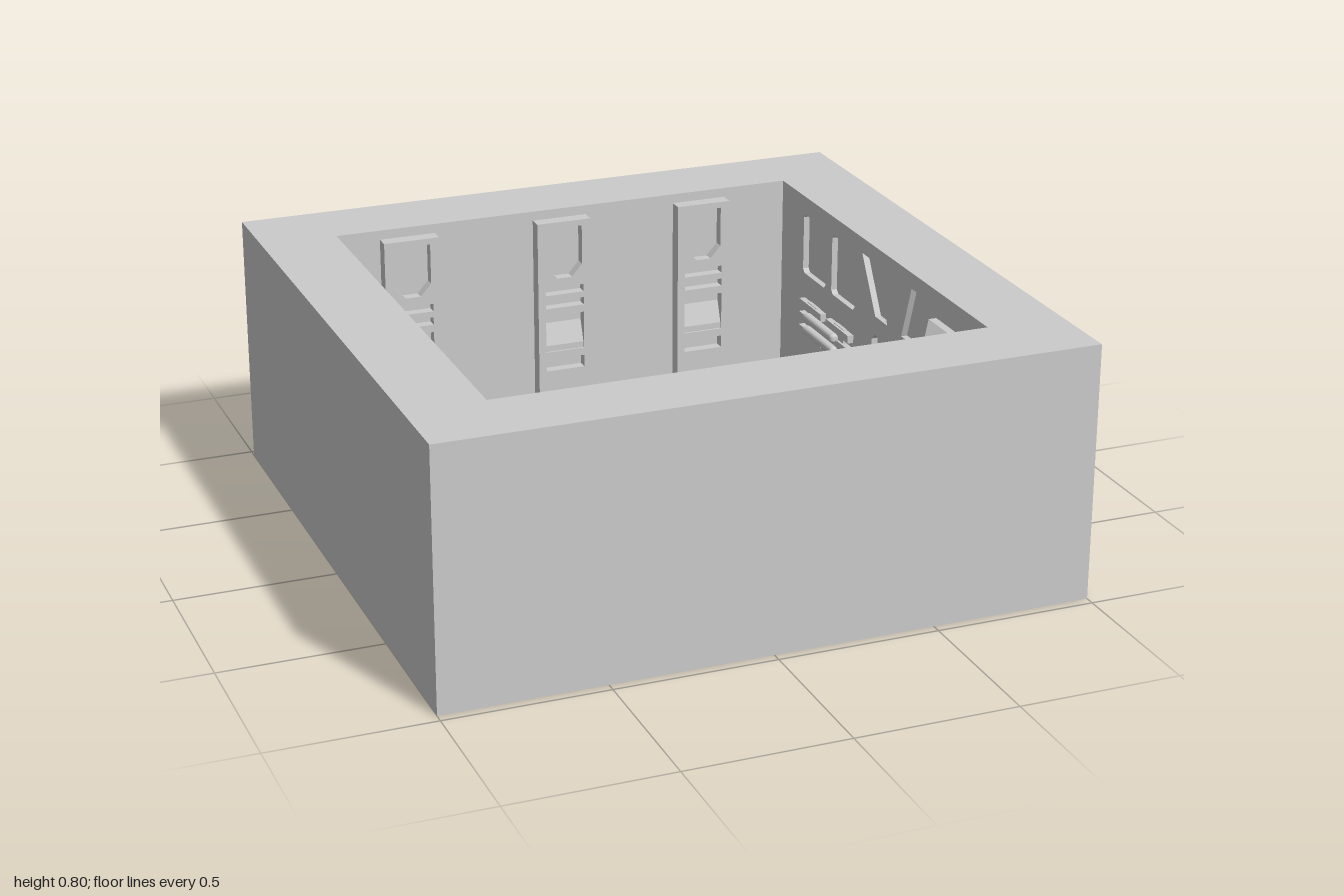
import * as THREE from 'three';
import { RoundedBoxGeometry } from 'three/addons/geometries/RoundedBoxGeometry.js';

const material = new THREE.MeshStandardMaterial({ color: 0xcccccc, flatShading: true });
const HEIGHT = 0.8, INNER_X = 0.76, INNER_Z = 0.73, RECESS = 0.02;

function add(parent, name, geometry) {
  const mesh = new THREE.Mesh(geometry, material);
  mesh.name = name;
  parent.add(mesh);
  return mesh;
}

const poly = (points, Type = THREE.Path) => new Type(points.map(([x, y]) => new THREE.Vector2(x, y)));

function rect(x0, y0, x1, y1, Type = THREE.Path) {
  return poly([[x0, y0], [x1, y0], [x1, y1], [x0, y1]], Type);
}

// rectangle with cut corners, c is the cut size
function chamfered(cx, cy, hw, hh, c) {
  return poly([[cx - hw + c, cy - hh], [cx + hw - c, cy - hh], [cx + hw, cy - hh + c], [cx + hw, cy + hh - c],
    [cx + hw - c, cy + hh], [cx - hw + c, cy + hh], [cx - hw, cy + hh - c], [cx - hw, cy - hh + c]]);
}

function extrude(shape, holes, depth) {
  shape.holes.push(...holes);
  return new THREE.ExtrudeGeometry(shape, { depth, bevelEnabled: false, curveSegments: 10 });
}

// upright strip with windows and slots, its back on z = 0, facing +z
function pilaster() {
  const group = new THREE.Group();
  group.name = 'pilaster';
  const w = 0.09, top = 0.77, bottom = 0.03;

  const back = new THREE.BoxGeometry(2 * w, top - bottom, 0.012);
  add(group, 'pilasterBack', back.translate(0, (top + bottom) / 2, 0.006));

  const arch = new THREE.Path();
  arch.moveTo(-0.06, 0.055);
  arch.lineTo(0.06, 0.055);
  arch.lineTo(0.06, 0.15);
  arch.absarc(0, 0.15, 0.06, 0, Math.PI, false);
  arch.closePath();
  const holes = [
    poly([[-0.06, 0.75], [-0.06, 0.62], [-0.025, 0.58], [0.025, 0.58], [0.06, 0.62], [0.06, 0.75]]),
    rect(-0.065, 0.525, 0.065, 0.55),
    rect(-0.065, 0.48, 0.065, 0.505),
    rect(-0.065, 0.33, 0.065, 0.455),
    rect(-0.065, 0.265, 0.065, 0.305),
    arch,
  ];
  const face = extrude(rect(-w, bottom, w, top, THREE.Shape), holes, 0.033);
  add(group, 'pilasterFace', face.translate(0, 0, 0.012));

  // sloping block inside the middle opening
  const wedge = extrude(poly([[0, 0.33], [0.026, 0.33], [0.026, 0.35], [0, 0.42]], THREE.Shape), [], 0.13);
  add(group, 'pilasterWedge', wedge.rotateY(-Math.PI / 2).translate(0.065, 0, 0.012));
  return group;
}

// solid shelf with angled ends, back on z = 0, front on z = 0.062
function shelf() {
  const g = new THREE.BoxGeometry(0.29, 0.1, 0.062, 1, 1, 2);
  const p = g.attributes.position;
  for (let i = 0; i < p.count; i++) {
    const z = p.getZ(i);
    if (z > 0.02) {
      p.setX(i, Math.sign(p.getX(i)) * 0.095);
      if (p.getY(i) > 0) p.setY(i, 0.015);
    } else if (z > -0.01) p.setZ(i, -0.006);
  }
  return g.translate(0, 0, 0.031);
}

// inner face of a side wall; side is +1 for left (+x), -1 for right (-x)
function sideWall(side) {
  const group = new THREE.Group();
  group.name = side > 0 ? 'leftInnerWall' : 'rightInnerWall';
  const u = (z) => side * z; // drawing axis for a given z
  const mid = HEIGHT / 2, cz = 0.125;

  // recessed slanted and upright panels, repeated above and below the middle
  const holes = [chamfered(u(cz), mid, 0.155, 0.115, 0.02)];
  for (const v of [1, -1]) {
    for (const k of [1, -1]) {
      holes.push(poly([[0.05, 0.175], [0.135, 0.175], [0.24, 0.35], [0.11, 0.35]]
        .map(([a, b]) => [u(cz + k * a), mid + v * b])));
    }
    for (const z of [-0.25, -0.47]) {
      holes.push(chamfered(u(z), mid + v * 0.24, 0.088, 0.1, 0.012));
    }
  }
  const lining = extrude(rect(-INNER_Z, 0, INNER_Z, HEIGHT, THREE.Shape), holes, RECESS);
  add(group, 'wallPanel', lining.translate(0, 0, -RECESS));

  // raised square ring in the middle recess
  const ring = extrude(rect(u(cz) - 0.085, mid - 0.065, u(cz) + 0.085, mid + 0.065, THREE.Shape),
    [rect(u(cz) - 0.045, mid - 0.035, u(cz) + 0.045, mid + 0.035)], RECESS - 0.004);
  add(group, 'squareRing', ring.translate(0, 0, -RECESS));

  // stacked shelves by the front corner
  for (let i = 0; i < 4; i++) {
    add(group, 'shelf', shelf()).position.set(u(0.55), 0.14 + i * 0.175, 0);
  }

  // pair of barred plates joined by rounded handles
  for (const z of [-0.455, -0.248]) {
    for (const dy of [-0.045, 0, 0.045]) {
      const bar = new THREE.BoxGeometry(0.168, 0.026, 0.02);
      add(group, 'latchBar', bar.translate(u(z), mid + dy, 0.01));
    }
    add(group, 'latchPlate', new THREE.BoxGeometry(0.07, 0.12, 0.012).translate(u(z), mid, 0.006));
  }
  for (const dy of [-0.022, 0.022]) {
    const handle = new RoundedBoxGeometry(0.225, 0.03, 0.03, 3, 0.012);
    add(group, 'latchHandle', handle.translate(u(-0.35), mid + dy, 0.03));
  }

  group.rotation.y = -side * Math.PI / 2;
  group.position.x = side * INNER_X;
  return group;
}

export function createModel() {
  const model = new THREE.Group();
  model.name = 'squareWallRing';

  // thick outer walls, open through the middle
  const hx = INNER_X + RECESS;
  const walls = extrude(rect(-1, -0.97, 1, 0.97, THREE.Shape),
    [rect(-hx, -INNER_Z, hx, INNER_Z)], HEIGHT);
  add(model, 'outerWalls', walls.rotateX(-Math.PI / 2));

  for (const side of [1, -1]) model.add(sideWall(side));

  // three pilasters on the back wall and three facing them
  for (const x of [-0.53, -0.022, 0.46]) {
    for (const dir of [1, -1]) {
      const p = pilaster();
      p.position.set(x, 0, -dir * INNER_Z);
      if (dir < 0) p.rotation.y = Math.PI;
      model.add(p);
    }
  }
  return model;
}
